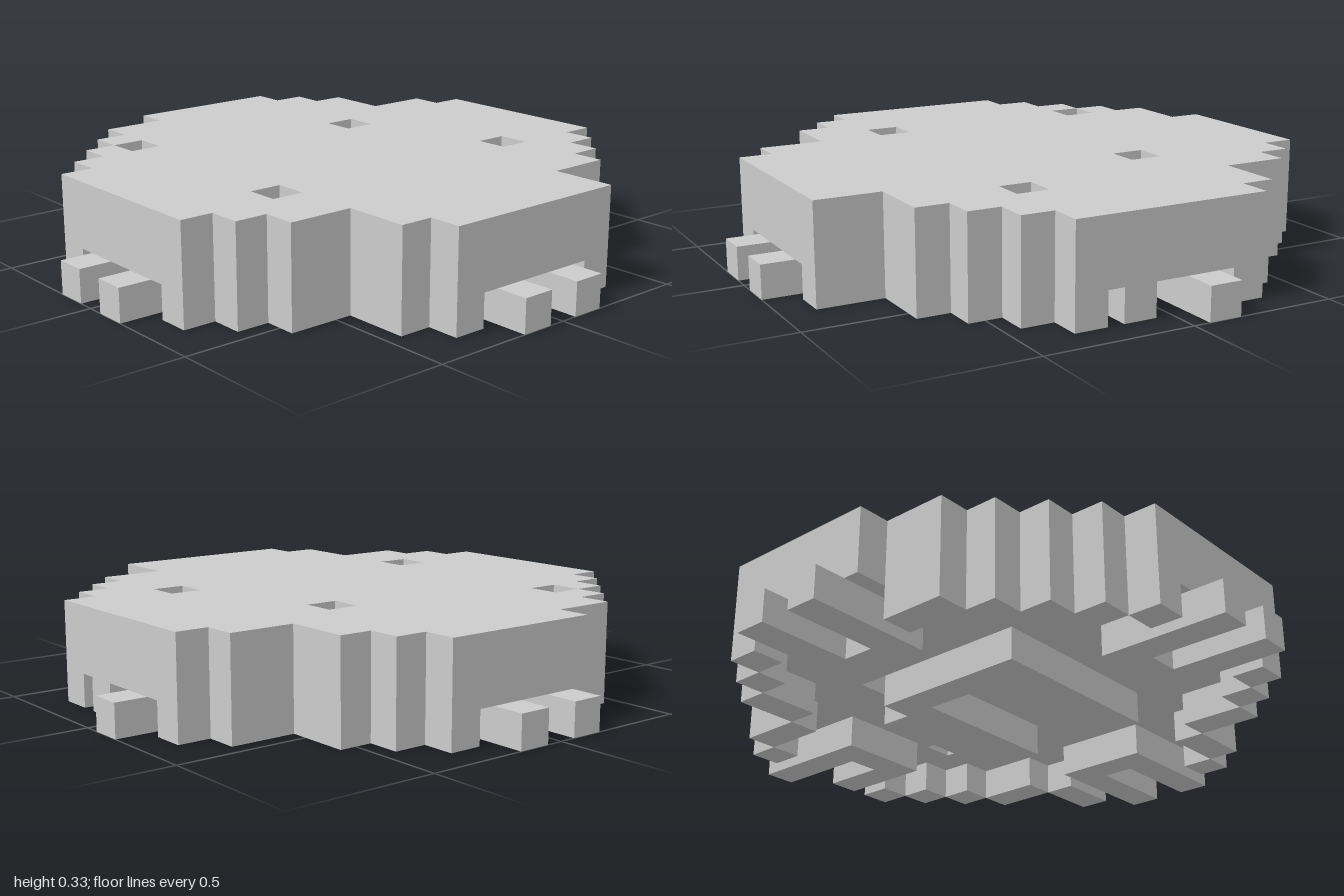
import * as THREE from 'three';

const U = 1 / 9; // one block
const material = new THREE.MeshStandardMaterial({ color: 0xcccccc, flatShading: true });

// Left and right ends of each row of blocks, from back (z = -8) to front
const rows = [
  [-3, 3], [-4, 4], [-4, 5], [-6, 6], [-7, 6], [-8, 8], [-8, 8], [-8, 8],
  [-8, 8], [-8, 8], [-7, 8], [-7, 7], [-6, 5], [-5, 5], [-4, 4], [-3, 3],
];
// Shafts that run right through, by the block's low x and z corner
const shafts = [[2, -5], [-3, -3], [-5, 4], [2, 4]];

const toPoints = (list) => list.map(([x, z]) => new THREE.Vector2(x * U, -z * U));

// Extrudes a plan drawn in (x, z) blocks between two heights
function slab(name, plan, y0, y1, holes = []) {
  const shape = new THREE.Shape(toPoints(plan));
  for (const hole of holes) shape.holes.push(new THREE.Path(toPoints(hole)));
  const geometry = new THREE.ExtrudeGeometry(shape, { depth: (y1 - y0) * U, bevelEnabled: false });
  geometry.rotateX(-Math.PI / 2).translate(0, y0 * U, 0);
  const mesh = new THREE.Mesh(geometry, material);
  mesh.name = name;
  return mesh;
}

// Stepped outline of the whole plan, without repeated points
function outline() {
  const left = [], right = [];
  rows.forEach(([a, b], i) => {
    const z = i - 8;
    if (!i || a !== rows[i - 1][0]) {
      if (i) left.push([rows[i - 1][0], z]);
      left.push([a, z]);
    }
    if (!i || b !== rows[i - 1][1]) {
      if (i) right.push([rows[i - 1][1], z]);
      right.push([b, z]);
    }
  });
  left.push([rows[15][0], 8]);
  right.push([rows[15][1], 8]);
  return [...left, ...right.reverse()];
}

const inside = (x, z) => {
  const row = rows[z + 8];
  return !!row && x >= row[0] && x < row[1];
};

// Edge blocks, leaving a four-block gap in the middle of each side
function isRim(x, z) {
  if (!inside(x, z)) return false;
  if ((x >= -2 && x < 2) || (z >= -2 && z < 2)) return false;
  return !(inside(x - 1, z) && inside(x + 1, z) && inside(x, z - 1) && inside(x, z + 1));
}

// Lower wall under the edge of the plate, one box for each run of blocks
function buildRim() {
  const rim = new THREE.Group();
  rim.name = 'lowerRim';
  for (let z = -8; z < 8; z++) {
    for (let x = -8; x < 8; x++) {
      if (!isRim(x, z)) continue;
      const start = x;
      while (isRim(x + 1, z)) x++;
      const length = x + 1 - start;
      const box = new THREE.Mesh(new THREE.BoxGeometry(length * U, U, U), material);
      box.position.set((start + length / 2) * U, U / 2, (z + 0.5) * U);
      box.name = 'rimBlock';
      rim.add(box);
    }
  }
  return rim;
}

// Two-pronged foot pointing to +z; the second prong may be shorter
function buildFoot(name, angle, prongEnd = 9) {
  const foot = slab(name, [
    [-1.5, 5], [1.5, 5], [1.5, 9], [0.5, 9], [0.5, 6],
    [-0.5, 6], [-0.5, prongEnd], [-1.5, prongEnd],
  ], 0, 1);
  foot.rotation.y = angle;
  return foot;
}

export function createModel() {
  const group = new THREE.Group();
  group.name = 'blockDisc';

  // Thick upper plate
  const holes = shafts.map(([x, z]) => [[x, z], [x + 1, z], [x + 1, z + 1], [x, z + 1]]);
  group.add(slab('upperPlate', outline(), 1, 3, holes));
  group.add(buildRim());

  // Feet on the four sides; the back one has a short prong
  group.add(buildFoot('frontFoot', 0));
  group.add(buildFoot('leftFoot', Math.PI / 2));
  group.add(buildFoot('backFoot', Math.PI, 8));
  group.add(buildFoot('rightFoot', -Math.PI / 2));

  // C-shaped block under the centre, with one corner cut by a shaft
  group.add(slab('centreBracket', [
    [3, -3], [3, -1], [-2, -1], [-2, 1], [3, 1], [3, 3],
    [-3, 3], [-3, -2], [-2, -2], [-2, -3],
  ], 0, 1));

  return group;
}
